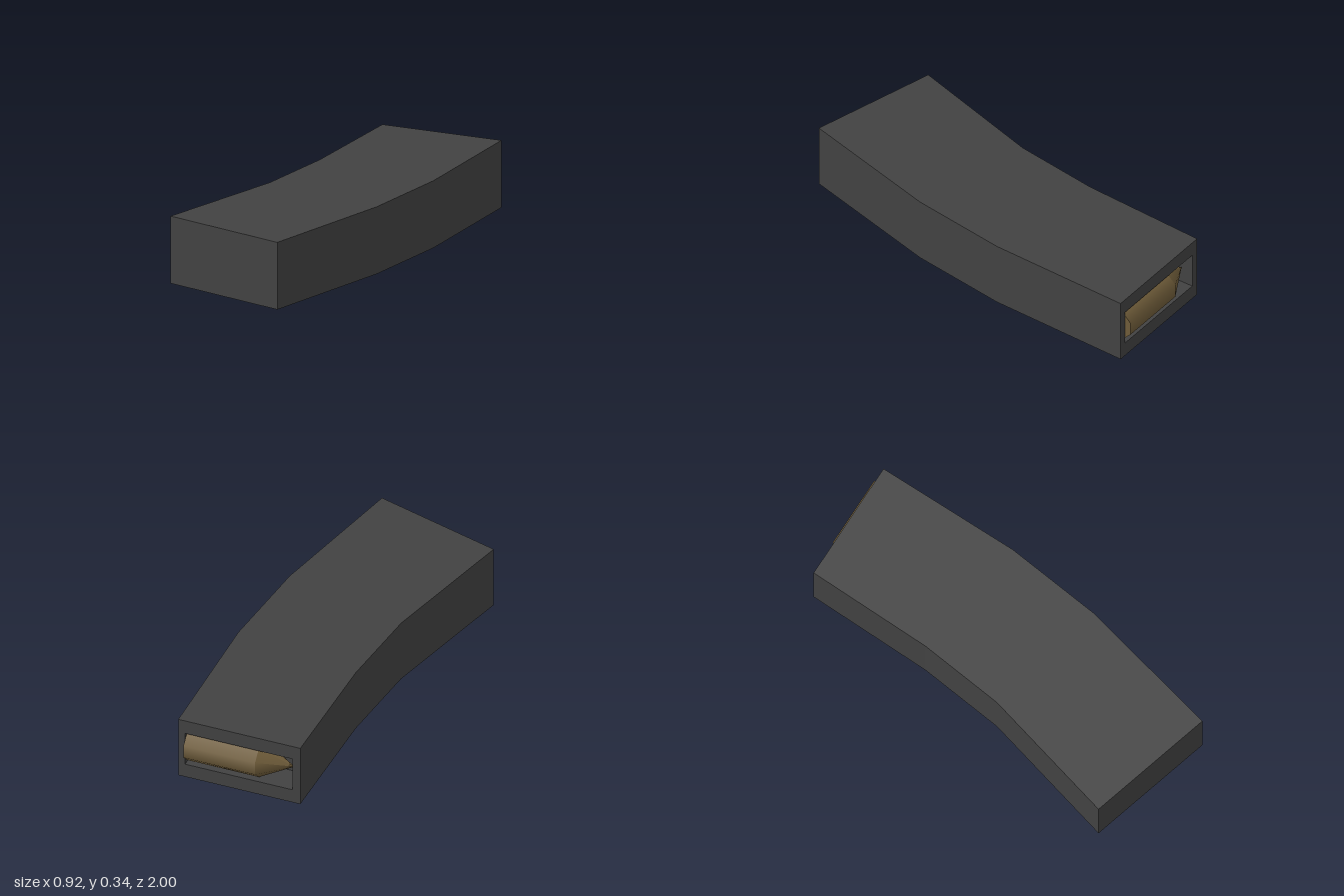
import * as THREE from 'three';

const HEIGHT = 0.335;

// flat-shaded surface made from a list of four-cornered faces
function quadMesh(name, quads, material) {
  const pos = [];
  for (const [a, b, c, d] of quads) pos.push(...a, ...b, ...c, ...a, ...c, ...d);
  const geo = new THREE.BufferGeometry();
  geo.setAttribute('position', new THREE.Float32BufferAttribute(pos, 3));
  geo.computeVertexNormals();
  const mesh = new THREE.Mesh(geo, material);
  mesh.name = name;
  return mesh;
}

// rectangle in a plane of constant z, anticlockwise as seen from behind
const ring = (x0, x1, y0, y1, z) => [[x1, y0, z], [x0, y0, z], [x0, y1, z], [x1, y1, z]];

// faces joining two rings
const bridge = (a, b) => a.map((p, i) => [p, a[(i + 1) % 4], b[(i + 1) % 4], b[i]]);

export function createModel() {
  const model = new THREE.Group();
  model.name = 'curvedMagazine';

  const casingGrey = new THREE.MeshStandardMaterial({ color: 0x424242 });
  casingGrey.name = 'casingGrey';
  const brass = new THREE.MeshStandardMaterial({ color: 0x705d3a });
  brass.name = 'brass';

  // curved casing: matching [x, z] points down both sides, back to front
  const left = [[-0.17, -0.97], [-0.2, -0.32], [-0.26, 0.12], [-0.46, 0.82]];
  const right = [[0.455, -0.97], [0.437, -0.23], [0.37, 0.27], [0.183, 1.0]];
  const at = ([x, z], y) => [x, y, z];
  const wall = (p, q) => [at(p, 0), at(q, 0), at(q, HEIGHT), at(p, HEIGHT)];
  const shell = [wall(left[3], right[3])];
  for (let i = 0; i < 3; i++) {
    const loop = [left[i], left[i + 1], right[i + 1], right[i]];
    shell.push(wall(left[i], left[i + 1]), wall(right[i + 1], right[i]));
    shell.push(loop.map(p => at(p, HEIGHT)), loop.map(p => at(p, 0)).reverse());
  }
  model.add(quadMesh('casing', shell, casingGrey));

  // rim and recess in the back end
  const outer = ring(-0.17, 0.455, 0, HEIGHT, -0.97);
  const mouth = ring(-0.13, 0.42, 0.075, 0.26, -0.97);
  const floor = ring(-0.13, 0.42, 0.075, 0.26, -0.83);
  model.add(quadMesh('rim', bridge(outer, mouth), casingGrey));
  model.add(quadMesh('recess', [...bridge(mouth, floor), floor], casingGrey));

  // eight-sided cartridge lying across the recess
  const cartridge = new THREE.Group();
  cartridge.name = 'cartridge';
  const addPart = (name, topRadius, x0, x1) => {
    const geo = new THREE.CylinderGeometry(topRadius, 0.092, x1 - x0, 8, 1, false, Math.PI / 8);
    const mesh = new THREE.Mesh(geo.rotateZ(Math.PI / 2), brass);
    mesh.position.x = (x0 + x1) / 2;
    mesh.name = name;
    cartridge.add(mesh);
  };
  addPart('cartridgeCase', 0.092, 0.05, 0.417);
  addPart('cartridgeTip', 0, -0.12, 0.05);
  cartridge.position.set(0, 0.172, -0.915);
  model.add(cartridge);

  return model;
}
